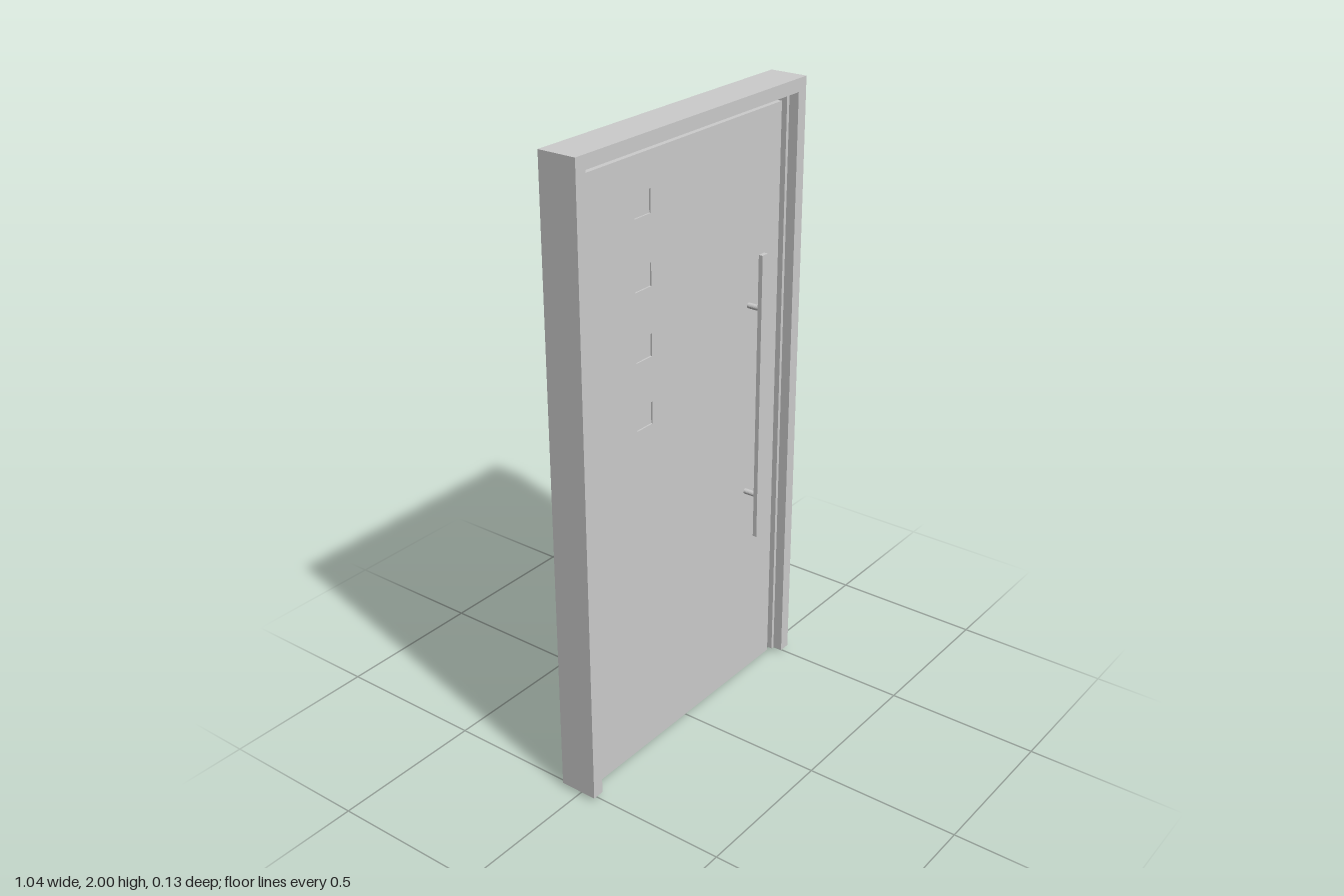
import * as THREE from 'three';

const material = new THREE.MeshStandardMaterial({ color: 0xcccccc, flatShading: true });

function add(parent, name, geometry, x = 0, y = 0, z = 0) {
  const mesh = new THREE.Mesh(geometry, material);
  mesh.name = name;
  mesh.position.set(x, y, z);
  parent.add(mesh);
  return mesh;
}

function extrude(shape, depth) {
  return new THREE.ExtrudeGeometry(shape, { depth, bevelEnabled: false });
}

// Upside-down U outline: two jambs joined by a head
function portal(outerX, outerTop, innerX, innerTop, bottom) {
  return new THREE.Shape([
    [-outerX, bottom], [-outerX, outerTop], [outerX, outerTop], [outerX, bottom],
    [innerX, bottom], [innerX, innerTop], [-innerX, innerTop], [-innerX, bottom],
  ].map(([x, y]) => new THREE.Vector2(x, y)));
}

export function createModel() {
  const door = new THREE.Group();
  door.name = 'door';

  // Frame with a narrower stop running around its inside
  add(door, 'frame', extrude(portal(0.522, 2, 0.483, 1.959, 0.012), 0.124), 0, 0, -0.064);
  add(door, 'doorStop', extrude(portal(0.483, 1.959, 0.471, 1.948, 0.012), 0.06), 0, 0, -0.032);

  // Leaf with a column of square windows
  const half = 0.035;
  const windowX = -0.193;
  const leaf = new THREE.Shape([
    new THREE.Vector2(-0.471, 0), new THREE.Vector2(0.471, 0),
    new THREE.Vector2(0.471, 1.928), new THREE.Vector2(-0.471, 1.928),
  ]);
  for (let i = 0; i < 4; i++) {
    const y = 1.785 - i * 0.212;
    leaf.holes.push(new THREE.Path([
      new THREE.Vector2(windowX - half, y - half), new THREE.Vector2(windowX - half, y + half),
      new THREE.Vector2(windowX + half, y + half), new THREE.Vector2(windowX + half, y - half),
    ]));
    add(door, 'windowPane', new THREE.BoxGeometry(2 * half, 2 * half, 0.01), windowX, y, 0);
  }
  add(door, 'leaf', extrude(leaf, 0.02), 0, 0, -0.01);

  // A long pull handle on each face, held by two round posts
  for (const side of [1, -1]) {
    const handle = new THREE.Group();
    handle.name = side > 0 ? 'frontHandle' : 'backHandle';
    add(handle, 'handleBar', new THREE.BoxGeometry(0.027, 0.96, 0.014), 0.318, 1.025, side * 0.06);
    for (const y of [1.33, 0.69]) {
      const post = add(handle, 'handlePost', new THREE.CylinderGeometry(0.009, 0.009, 0.046, 16), 0.318, y, side * 0.032);
      post.rotation.x = Math.PI / 2;
    }
    door.add(handle);
  }
  return door;
}
